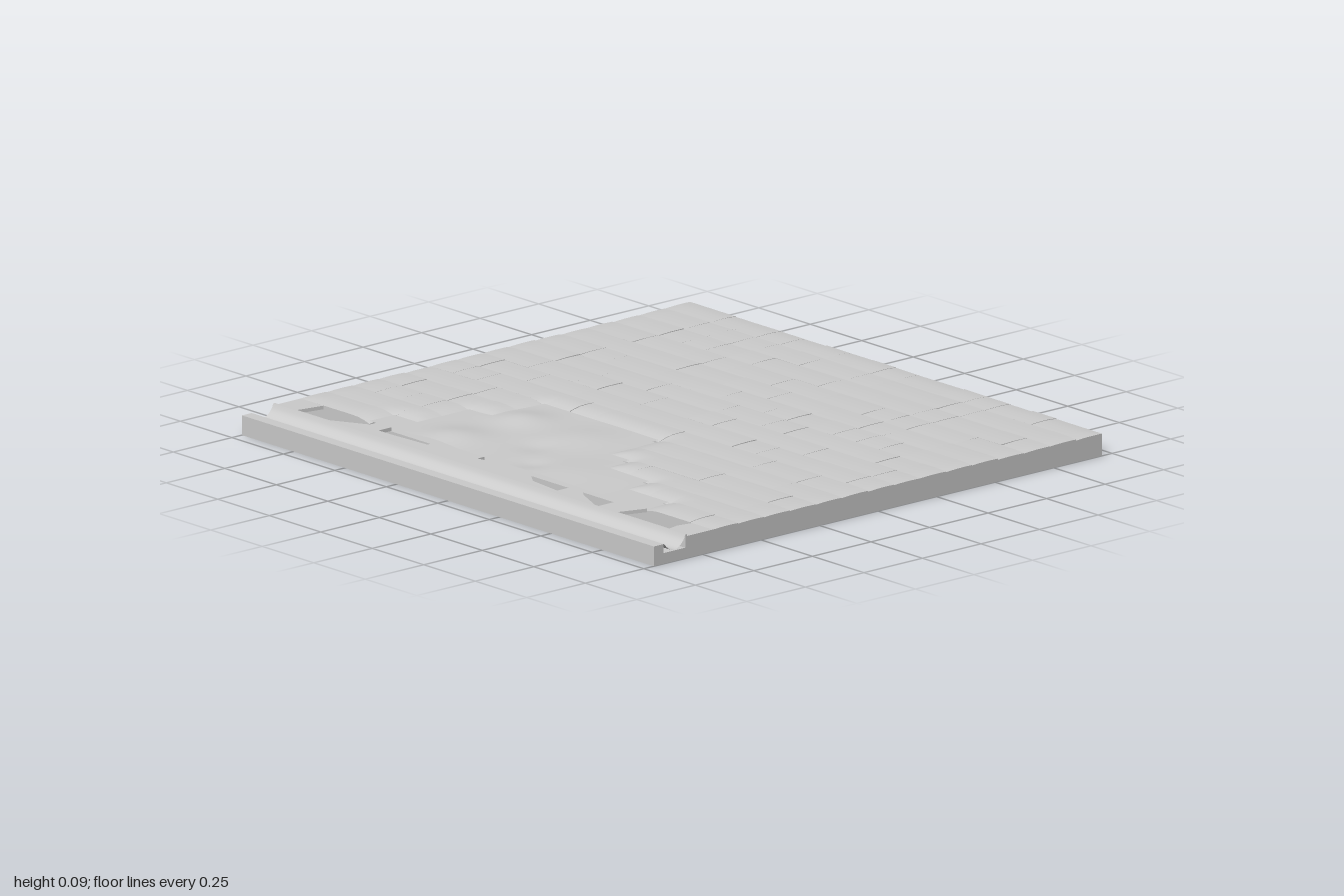
import * as THREE from 'three';
import { mergeGeometries } from 'three/addons/utils/BufferGeometryUtils.js';

const CELL = 2 / 18, BACK = -0.957, FRONT = 0.957, PAVE_END = 0.705, STRIP_END = 0.815;
const material = new THREE.MeshStandardMaterial({ color: 0xcccccc, side: THREE.DoubleSide });

// Worn patch: [first row, end row, first column, end column], in paving cells
const PATCH = [[10, 12, 5, 10], [12, 13, 4, 11], [13, 14, 4, 13], [14, 15, 3, 15]];
const patchRects = PATCH.map(([r0, r1, c0, c1]) => ({
  x0: -1 + c0 * CELL, x1: -1 + c1 * CELL, z0: BACK + r0 * CELL,
  z1: r1 === 15 ? PAVE_END : BACK + r1 * CELL,
}));
const inPatch = (r, c) => PATCH.some(([r0, r1, c0, c1]) => r >= r0 && r < r1 && c >= c0 && c < c1);

function patchDistance(x, z) {
  return Math.min(...patchRects.map((p) => Math.hypot(
    Math.max(p.x0 - x, 0, x - p.x1), Math.max(p.z0 - z, 0, z - p.z1))));
}

let seed = 7;
function random() {
  seed = (seed * 16807) % 2147483647;
  return seed / 2147483647;
}

function addMesh(group, name, geometry) {
  const mesh = new THREE.Mesh(geometry, material);
  mesh.name = name;
  group.add(mesh);
  return mesh;
}

function block(group, name, x0, x1, y0, y1, z0, z1) {
  const geometry = new THREE.BoxGeometry(x1 - x0, y1 - y0, z1 - z0);
  geometry.translate((x0 + x1) / 2, (y0 + y1) / 2, (z0 + z1) / 2);
  return addMesh(group, name, geometry);
}

// One stone whose top is crowned, slightly tilted, and worn down beside the patch
function stone(row, column, span) {
  const x0 = -1 + column * CELL, z0 = BACK + row * CELL;
  const w = span * CELL, d = row === 14 ? PAVE_END - z0 : CELL;
  const geometry = new THREE.BoxGeometry(w, 0.02, d, 4 * span, 1, 4);
  geometry.translate(x0 + w / 2, 0.07, z0 + d / 2);
  const lift = 0.0785 + (random() - 0.5) * 0.003;
  const tiltX = (random() - 0.5) * 0.002, tiltZ = -0.002 + (random() - 0.5) * 0.002;
  const p = geometry.attributes.position;
  for (let i = 0; i < p.count; i++) {
    if (p.getY(i) < 0.07) continue;
    const x = p.getX(i), z = p.getZ(i);
    const u = (x - x0) / w - 0.5, v = (z - z0) / d - 0.5;
    const wear = Math.max(0, 1 - patchDistance(x, z) / 0.075);
    const rim = Math.max(0, 1 - Math.min(1 - Math.abs(x), z - BACK, PAVE_END - z) / 0.05);
    p.setY(i, lift + tiltX * u + tiltZ * v - 0.006 * v * v - 0.012 * wear * wear - 0.003 * rim * rim);
  }
  geometry.computeVertexNormals();
  return geometry;
}

// Uneven bare ground inside the patch
function groundHeight(x, z) {
  const bump = (cx, cz, r, h) => h * Math.exp(-((x - cx) ** 2 + (z - cz) ** 2) / (r * r));
  return 0.072 + bump(-0.35, 0.33, 0.09, 0.016) + bump(-0.35, 0.62, 0.1, 0.016)
    + bump(-0.07, 0.33, 0.12, 0.009) + bump(0.2, 0.6, 0.13, 0.006)
    - bump(-0.09, 0.5, 0.06, 0.006) - bump(0.05, 0.64, 0.05, 0.006);
}

function ground() {
  const parts = patchRects.map((r) => {
    const w = r.x1 - r.x0, d = r.z1 - r.z0;
    const geometry = new THREE.PlaneGeometry(w, d, Math.round(w / 0.028), Math.round(d / 0.028));
    geometry.rotateX(-Math.PI / 2);
    geometry.translate(r.x0 + w / 2, 0, r.z0 + d / 2);
    const p = geometry.attributes.position, n = geometry.attributes.normal, e = 0.005;
    for (let i = 0; i < p.count; i++) {
      const x = p.getX(i), z = p.getZ(i);
      p.setY(i, groundHeight(x, z));
      const normal = new THREE.Vector3(groundHeight(x - e, z) - groundHeight(x + e, z), 2 * e,
        groundHeight(x, z - e) - groundHeight(x, z + e)).normalize();
      n.setXYZ(i, normal.x, normal.y, normal.z);
    }
    return geometry;
  });
  return mergeGeometries(parts);
}

// Flat border strip with broken notches along its back edge
function brokenStrip() {
  const notches = [
    [[-0.89, 0.705], [-0.91, 0.81], [-0.77, 0.81], [-0.57, 0.705]],
    [[-0.56, 0.705], [-0.56, 0.76], [-0.5, 0.76], [-0.335, 0.75], [-0.335, 0.705]],
    [[-0.11, 0.705], [-0.11, 0.735], [0.01, 0.705]],
    [[0.11, 0.705], [0.2, 0.77], [0.335, 0.785], [0.335, 0.705]],
    [[0.36, 0.705], [0.43, 0.755], [0.555, 0.81], [0.555, 0.705]],
    [[0.68, 0.705], [0.645, 0.81], [0.9, 0.81], [0.89, 0.76], [0.9, 0.705]],
  ];
  const outline = [[-1, PAVE_END], ...notches.flat(), [1, PAVE_END], [1, STRIP_END], [-1, STRIP_END]];
  const shape = new THREE.Shape(outline.map(([x, z]) => new THREE.Vector2(x, -z)));
  const geometry = new THREE.ExtrudeGeometry(shape, { depth: 0.012, bevelEnabled: false });
  geometry.rotateX(-Math.PI / 2);
  geometry.translate(0, 0.062, 0);
  return geometry;
}

// Rounded gutter: a profile in z and y swept along x
function gutter() {
  const profile = new THREE.SplineCurve([
    [0.823, 0.08], [0.832, 0.062], [0.85, 0.045], [0.872, 0.039], [0.893, 0.045], [0.915, 0.066],
  ].map(([z, y]) => new THREE.Vector2(z, y)));
  const segments = 16;
  const geometry = new THREE.PlaneGeometry(2, 1, 1, segments);
  const p = geometry.attributes.position;
  for (let i = 0; i < p.count; i++) {
    const q = profile.getPoint(1 - (p.getY(i) + 0.5));
    p.setXYZ(i, p.getX(i), q.y, q.x);
  }
  geometry.computeVertexNormals();
  return geometry;
}

export function createModel() {
  const model = new THREE.Group();
  model.name = 'pavedFloor';

  // Base: deep bed under the stones, thin plate under the strip, gutter bed and curb
  block(model, 'pavingBed', -1, 1, 0, 0.06, BACK, PAVE_END);
  block(model, 'stripUnderside', -1, 1, 0, 0.002, PAVE_END, STRIP_END);
  for (const side of [-1, 1]) {
    block(model, 'stripEnd', side - 0.003 * (side + 1) / 2, side + 0.003 * (1 - side) / 2,
      0, 0.074, PAVE_END, STRIP_END);
  }
  block(model, 'gutterBackLip', -1, 1, 0, 0.08, STRIP_END, 0.823);
  block(model, 'gutterBed', -1, 1, 0, 0.036, 0.823, 0.915);
  block(model, 'curb', -1, 1, 0, 0.066, 0.915, FRONT);

  // Stones one or two cells long, skipping the patch
  const stones = [];
  for (let row = 0; row < 15; row++) {
    for (let column = 0; column < 18;) {
      if (inPatch(row, column)) { column++; continue; }
      const double = column < 17 && !inPatch(row, column + 1) && random() < 0.55;
      const span = double ? 2 : 1;
      stones.push(stone(row, column, span));
      column += span;
    }
  }
  addMesh(model, 'pavingStones', mergeGeometries(stones));

  addMesh(model, 'wornGround', ground());
  addMesh(model, 'brokenStrip', brokenStrip());
  addMesh(model, 'gutter', gutter());
  return model;
}
